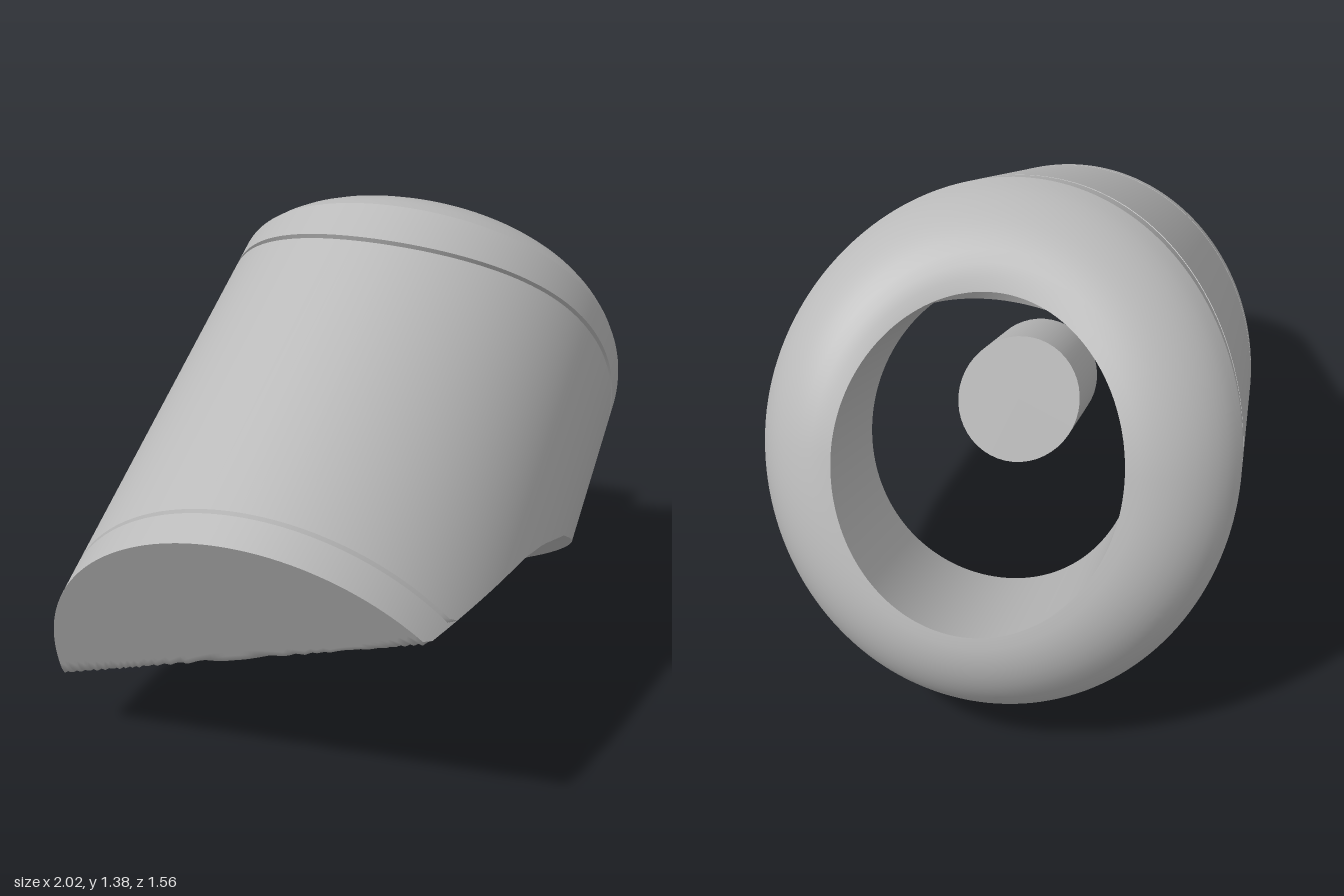
import * as THREE from 'three';

const A = 0.635, B = 0.708; // half width and half height of the oval body
const SEG = 160;

// Piecewise linear interpolation through a few [x, y] points, x ascending
function lerpTable(table, x) {
  if (x <= table[0][0]) return table[0][1];
  for (let i = 1; i < table.length; i++) {
    const [x0, y0] = table[i - 1], [x1, y1] = table[i];
    if (x <= x1) return y0 + ((y1 - y0) * (x - x0)) / (x1 - x0);
  }
  return table[table.length - 1][1];
}

// Curved saddle cut at the lower end, running along a slanted direction
const CUT = [[-0.236, -0.56], [-0.146, -0.38], [-0.066, -0.22], [0.008, -0.07], [0.083, 0.045],
  [0.207, 0.19], [0.317, 0.28], [0.449, 0.387], [0.616, 0.515], [0.7, 0.58]];
const cut = (p, q) => lerpTable(CUT, 0.368 * p - 0.93 * q);

// Oval ring whose height is a function of the point on the full oval
const ring = (scale, height) => (c, s) => [A * c * scale, height(A * c, B * s), B * s * scale];

// Surface through a list of rings, smooth inside one loft
function loft(rings) {
  const pos = [], idx = [];
  for (const r of rings) {
    for (let i = 0; i < SEG; i++) {
      const t = (i / SEG) * Math.PI * 2;
      pos.push(...r(Math.cos(t), Math.sin(t)));
    }
  }
  for (let j = 0; j < rings.length - 1; j++) {
    for (let i = 0; i < SEG; i++) {
      const n = (i + 1) % SEG, a = j * SEG + i, b = j * SEG + n;
      idx.push(a, a + SEG, b, b, a + SEG, b + SEG);
    }
  }
  const g = new THREE.BufferGeometry();
  g.setAttribute('position', new THREE.Float32BufferAttribute(pos, 3));
  g.setIndex(idx);
  g.computeVertexNormals();
  return g;
}

// Evenly spaced list of n + 1 rings made by f(0..1)
const steps = (n, f) => Array.from({ length: n + 1 }, (_, i) => f(i / n));

// Egg-shaped hollow inside the body
const EGG = new THREE.Vector3(0.03, 0.15, 0);
const EGG_R = new THREE.Vector3(0.56, 0.64, 0.55);
const toUnit = (pt) => new THREE.Vector3(...pt).sub(EGG).divide(EGG_R);

// Outline where the hollow breaks through the saddle cut, found by bisection
function hole(c, s) {
  const at = (r) => {
    const p = 0.05 + r * c, q = -0.1 + r * s;
    return [p, cut(p, q), q];
  };
  let lo = 0, hi = 0.8;
  for (let i = 0; i < 24; i++) {
    const mid = (lo + hi) / 2;
    if (toUnit(at(mid)).length() < 1) lo = mid;
    else hi = mid;
  }
  return at(lo);
}

// Oval mouth in the head, and the line where its bore meets the hollow
const MOUTH_P = 0.035, MOUTH_Q = -0.025, MOUTH_A = 0.38, MOUTH_B = 0.445;
const mouthPoint = (c, s) => [MOUTH_P + MOUTH_A * c, 1.085 - 0.09 * Math.max(0, s) ** 2, MOUTH_Q + MOUTH_B * s];
function junction(c, s) {
  const [p, , q] = mouthPoint(c, s);
  const u = toUnit([p, EGG.y, q]);
  return [p, EGG.y + EGG_R.y * Math.sqrt(1 - u.lengthSq()), q];
}

export function createModel() {
  const grey = new THREE.MeshStandardMaterial({ color: 0xbababa });
  grey.name = 'grey';
  const model = new THREE.Group();
  model.name = 'slantedKnob';

  // Local frame: x across, y along the slanted axis, z towards the upper side
  const axis = new THREE.Vector3(0.864, 0.415, -0.285).normalize();
  const across = new THREE.Vector3(-axis.z, 0, axis.x).normalize();
  const upper = new THREE.Vector3().crossVectors(across, axis);
  const body = new THREE.Group();
  body.name = 'knobBody';
  body.quaternion.setFromRotationMatrix(new THREE.Matrix4().makeBasis(across, axis, upper));
  body.position.set(-0.173, 0.421, 0.095);
  model.add(body);

  const add = (name, geometry) => {
    const mesh = new THREE.Mesh(geometry, grey);
    mesh.name = name;
    body.add(mesh);
    return mesh;
  };

  // Saddle face from the hole out to the rim
  const rim = ring(1, cut);
  add('saddleFace', loft(steps(28, (f) => (c, s) => {
    const a = hole(c, s), b = rim(c, s);
    const p = a[0] + (b[0] - a[0]) * f, q = a[2] + (b[2] - a[2]) * f;
    return [p, cut(p, q), q];
  })));

  // Outer wall with a step near the end and a fine groove below the shoulder
  const above = (h) => (p, q) => Math.max(cut(p, q), h);
  const groove = (d) => (p, q) => 0.85 - 0.03 * p - (q > 0 ? 0.25 : 0.12) * (q / B) ** 2 + d;
  const shoulder = (p, q) => 0.93 - (q > 0 ? 0.17 : 0.04) * (q / B) ** 2;
  const bands = {
    endBand: [rim, ring(1, above(-0.46))],
    endStepLower: [ring(1, above(-0.46)), ring(0.985, above(-0.457))],
    endStepUpper: [ring(0.985, above(-0.457)), ring(1, above(-0.446))],
    wall: [ring(1, above(-0.446)), ring(1, groove(-0.01))],
    grooveLower: [ring(1, groove(-0.01)), ring(0.98, groove(-0.008))],
    grooveFloor: [ring(0.98, groove(-0.008)), ring(0.98, groove(0.008))],
    grooveUpper: [ring(0.98, groove(0.008)), ring(1, groove(0.01))],
    shoulderBand: [ring(1, groove(0.01)), ring(1, shoulder)],
  };
  for (const [name, rings] of Object.entries(bands)) add(name, loft(rings));

  // Rounded head from the sharp shoulder edge to the mouth
  const START = 0.3;
  add('head', loft(steps(10, (f) => {
    const a = START + f * (Math.PI / 2 - START);
    const rise = (Math.sin(a) - Math.sin(START)) / (1 - Math.sin(START));
    const inward = 1 - 0.85 * (Math.cos(a) / Math.cos(START)) - 0.15 * (1 - f);
    return (c, s) => {
      const edge = ring(1, shoulder)(c, s), m = mouthPoint(c, s);
      return [
        edge[0] + (m[0] - edge[0]) * inward,
        edge[1] + (m[1] - edge[1]) * rise,
        edge[2] + (m[2] - edge[2]) * inward,
      ];
    };
  })));

  // Bore below the mouth, opening into the hollow
  add('mouthBore', loft([mouthPoint, junction]));
  add('hollow', loft(steps(20, (f) => (c, s) => {
    const dir = toUnit(junction(c, s)).lerp(toUnit(hole(c, s)), f).normalize();
    return dir.multiply(EGG_R).add(EGG).toArray();
  })));

  // Post in the mouth, with a slanted tip
  const post = new THREE.CylinderGeometry(0.153, 0.153, 0.43, 48);
  const v = post.attributes.position;
  for (let i = 0; i < v.count; i++) {
    if (v.getY(i) > 0) v.setY(i, v.getY(i) - 0.26 * v.getZ(i));
  }
  add('post', post).position.set(-0.07, 0.911, 0.172);

  return model;
}
